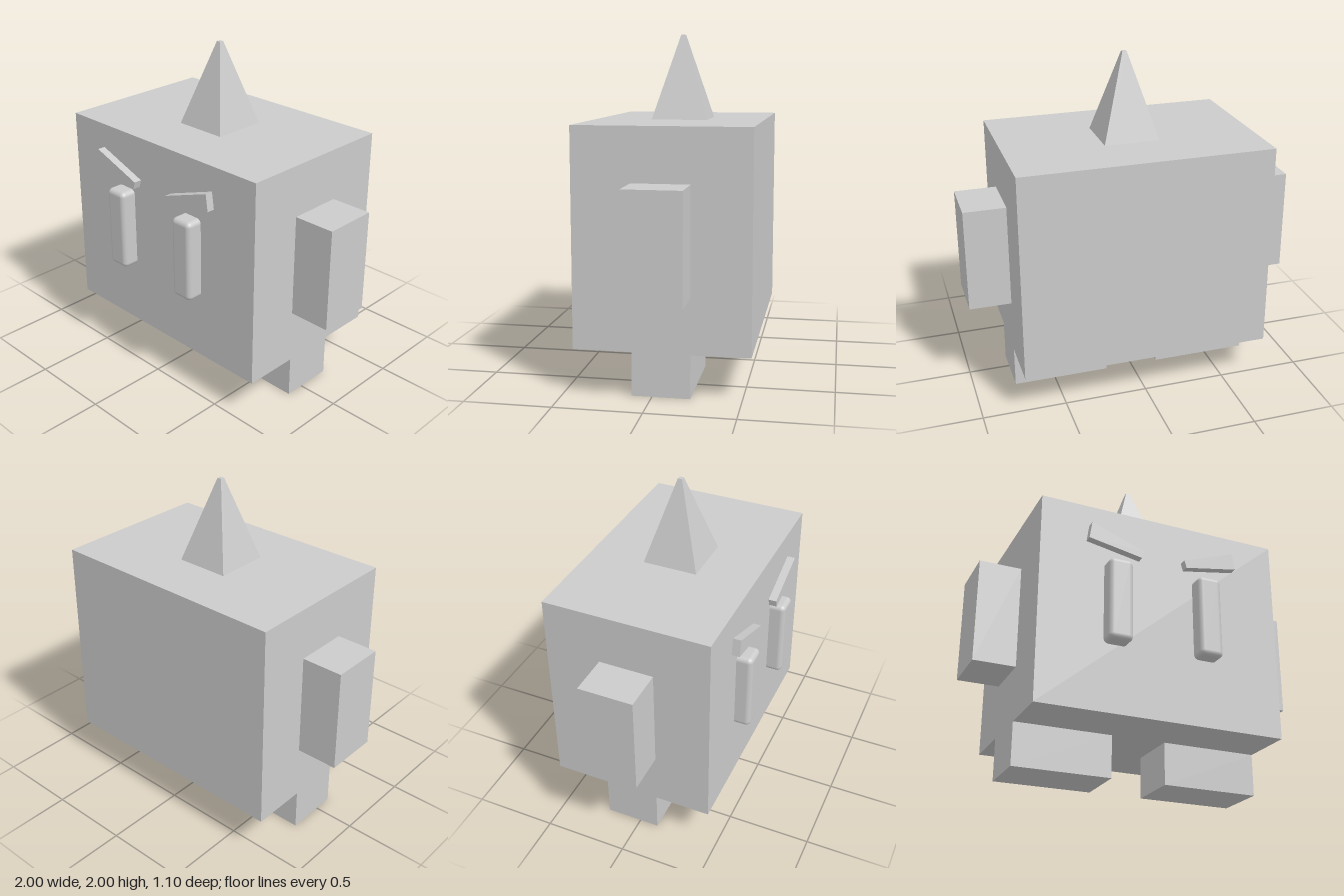
import * as THREE from 'three';
import { RoundedBoxGeometry } from 'three/addons/geometries/RoundedBoxGeometry.js';

export function createModel() {
  const model = new THREE.Group();
  model.name = 'hornedBlockCreature';
  const flat = new THREE.MeshStandardMaterial({ color: 0xcccccc, flatShading: true });
  const smooth = new THREE.MeshStandardMaterial({ color: 0xcccccc });
  const MID_Z = -0.05;

  function add(parent, name, geometry, x, y, z, material = flat) {
    const mesh = new THREE.Mesh(geometry, material);
    mesh.name = name;
    mesh.position.set(x, y, z);
    parent.add(mesh);
    return mesh;
  }

  // Block body
  add(model, 'body', new THREE.BoxGeometry(1.5, 1.25, 1), 0, 0.875, MID_Z);

  // Four-sided horn with a tiny blunt tip
  const horn = new THREE.CylinderGeometry(0.013 * Math.SQRT2, 0.165 * Math.SQRT2, 0.5, 4);
  horn.rotateY(Math.PI / 4);
  add(model, 'horn', horn, 0, 1.75, MID_Z);

  // Face parts sit slightly off the body's centre line
  const face = new THREE.Group();
  face.name = 'face';
  face.position.x = -0.01;
  model.add(face);

  // Slanted tapering brow outline, from the outer top corner
  const browPoints = [[0.455, 1.36], [0.13, 1.243], [0.143, 1.197], [0.47, 1.257]];

  for (const [side, s] of [['left', 1], ['right', -1]]) {
    // Limbs
    add(model, side + 'Arm', new THREE.BoxGeometry(0.25, 0.62, 0.33), s * 0.875, 0.88, MID_Z);
    add(model, side + 'Leg', new THREE.BoxGeometry(0.585, 0.25, 0.33), s * 0.4575, 0.125, MID_Z);

    // Rounded eye, half sunk into the body
    add(face, side + 'Eye', new RoundedBoxGeometry(0.145, 0.5, 0.19, 4, 0.03), s * 0.28, 0.9, 0.45, smooth);

    // Brow floating just in front of the face
    const outline = new THREE.Shape(browPoints.map(([x, y]) => new THREE.Vector2(s * x, y)));
    const brow = new THREE.ExtrudeGeometry(outline, { depth: 0.048, bevelEnabled: false });
    add(face, side + 'Brow', brow, 0, 0, 0.464);
  }
  return model;
}
